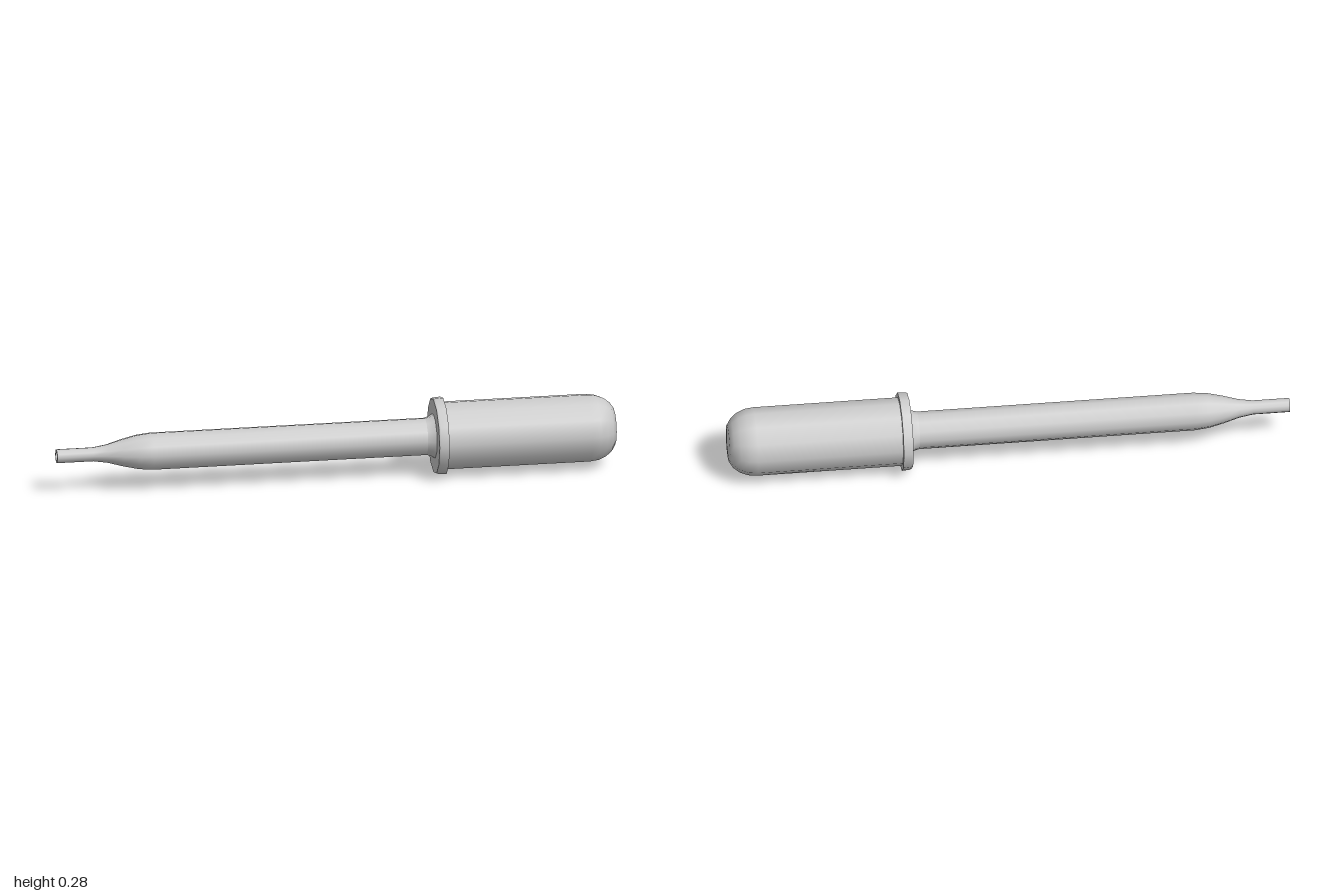
import * as THREE from 'three';

const SIDES = 12;
const AXIS_HEIGHT = 0.14;

export function createModel() {
  const model = new THREE.Group();
  model.name = 'dropper';
  const material = new THREE.MeshStandardMaterial({ color: 0xcccccc });

  // Turns a profile of [x, radius] pairs about the x axis; x rising faces outward.
  function turned(name, profile, parent) {
    const points = profile.map(([x, r]) => new THREE.Vector2(r, x));
    const geometry = new THREE.LatheGeometry(points, SIDES);
    geometry.rotateZ(-Math.PI / 2);
    const mesh = new THREE.Mesh(geometry, material);
    mesh.name = name;
    parent.add(mesh);
  }

  const part = (name) => {
    const group = new THREE.Group();
    group.name = name;
    group.position.y = AXIS_HEIGHT;
    model.add(group);
    return group;
  };

  // Glass pipette: narrow open tip, swelling shoulder, straight barrel
  const pipette = part('pipette');
  turned('barrel', [
    [-1, 0.025], [-0.87, 0.025], [-0.82, 0.033], [-0.765, 0.049],
    [-0.71, 0.062], [-0.66, 0.067], [0.32, 0.067],
  ], pipette);
  turned('tipRim', [[-1, 0.016], [-1, 0.025]], pipette);
  turned('tipBore', [[-0.9, 0], [-0.9, 0.016], [-1, 0.016]], pipette);

  // Rubber bulb: flared neck, collar with sharp edges, rounded squeeze end
  const bulb = part('bulb');
  turned('neck', [[0.32, 0.067], [0.335, 0.071], [0.35, 0.08]], bulb);
  turned('collarFront', [[0.35, 0.078], [0.35, 0.135]], bulb);
  turned('collarRim', [[0.35, 0.135], [0.357, 0.138], [0.385, 0.14]], bulb);
  turned('collarBack', [[0.385, 0.14], [0.385, 0.122]], bulb);

  const body = [[0.385, 0.122], [0.9, 0.122]];
  const dome = 5;
  for (let i = 1; i <= dome; i++) {
    const a = (i / dome) * Math.PI / 2;
    body.push([0.9 + 0.1 * Math.sin(a), i === dome ? 0 : 0.042 + 0.08 * Math.cos(a)]);
  }
  turned('squeezeBulb', body, bulb);

  return model;
}
